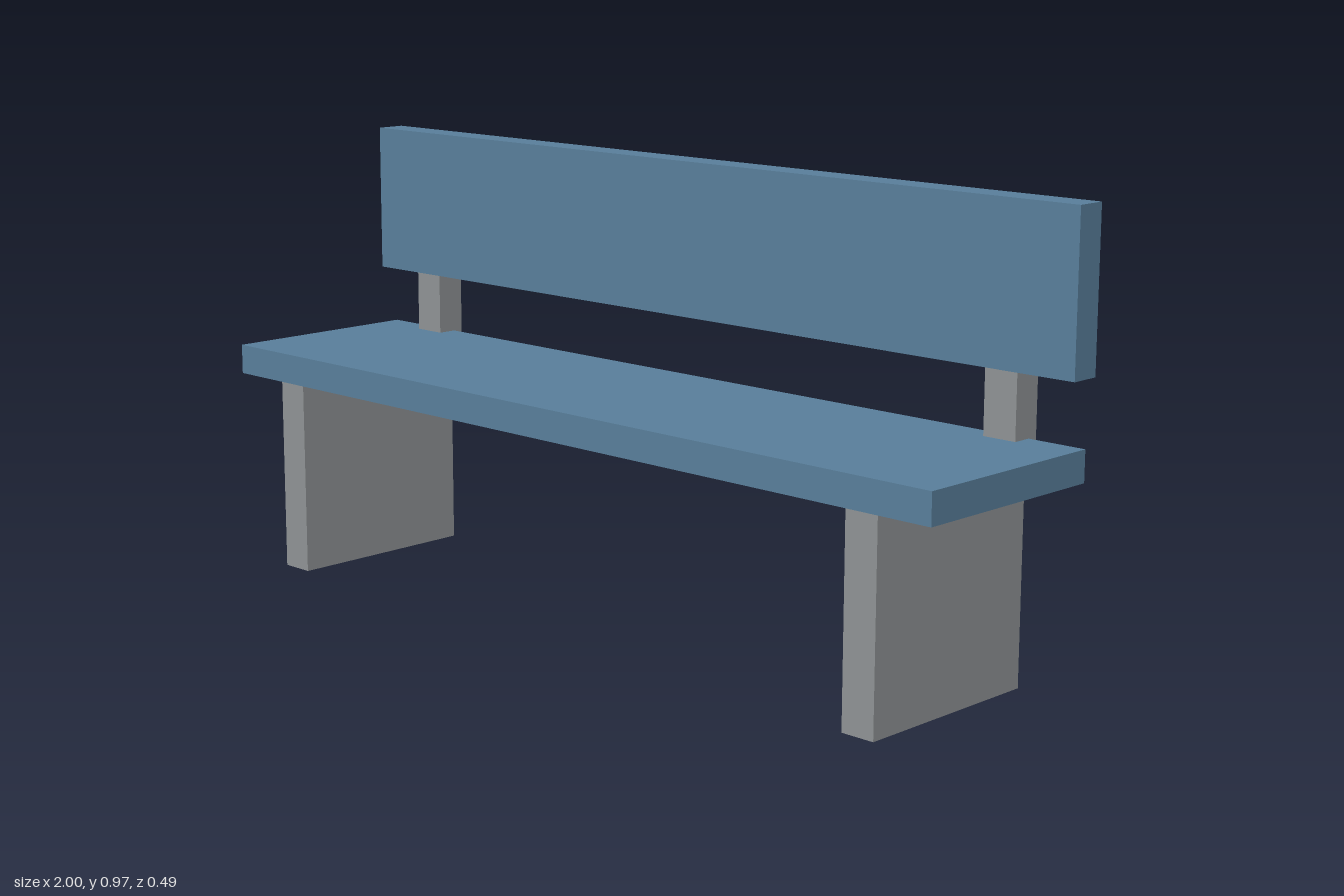
import * as THREE from 'three';

export function createModel() {
  const bench = new THREE.Group();
  bench.name = 'bench';

  const paintedWood = new THREE.MeshStandardMaterial({ color: 0x587e9a });
  paintedWood.name = 'blue painted wood';
  const concrete = new THREE.MeshStandardMaterial({ color: 0x8e9294 });
  concrete.name = 'grey concrete';

  // Box given by its [min, max] extent on each axis
  function addBox(name, material, [x0, x1], [y0, y1], [z0, z1]) {
    const mesh = new THREE.Mesh(new THREE.BoxGeometry(x1 - x0, y1 - y0, z1 - z0), material);
    mesh.position.set((x0 + x1) / 2, (y0 + y1) / 2, (z0 + z1) / 2);
    mesh.name = name;
    bench.add(mesh);
  }

  // Seat and backrest planks
  addBox('seat', paintedWood, [-1, 1], [0.434, 0.5], [-0.221, 0.245]);
  addBox('backrest', paintedWood, [-1, 1], [0.635, 0.968], [-0.245, -0.178]);

  // Slab legs, each with a post that carries the backrest
  for (const [side, x] of [['left', 0.831], ['right', -0.831]]) {
    const width = [x - 0.038, x + 0.038];
    addBox(side + 'Leg', concrete, width, [0, 0.434], [-0.212, 0.233]);
    addBox(side + 'Post', concrete, width, [0.39, 0.635], [-0.245, -0.178]);
  }

  return bench;
}
